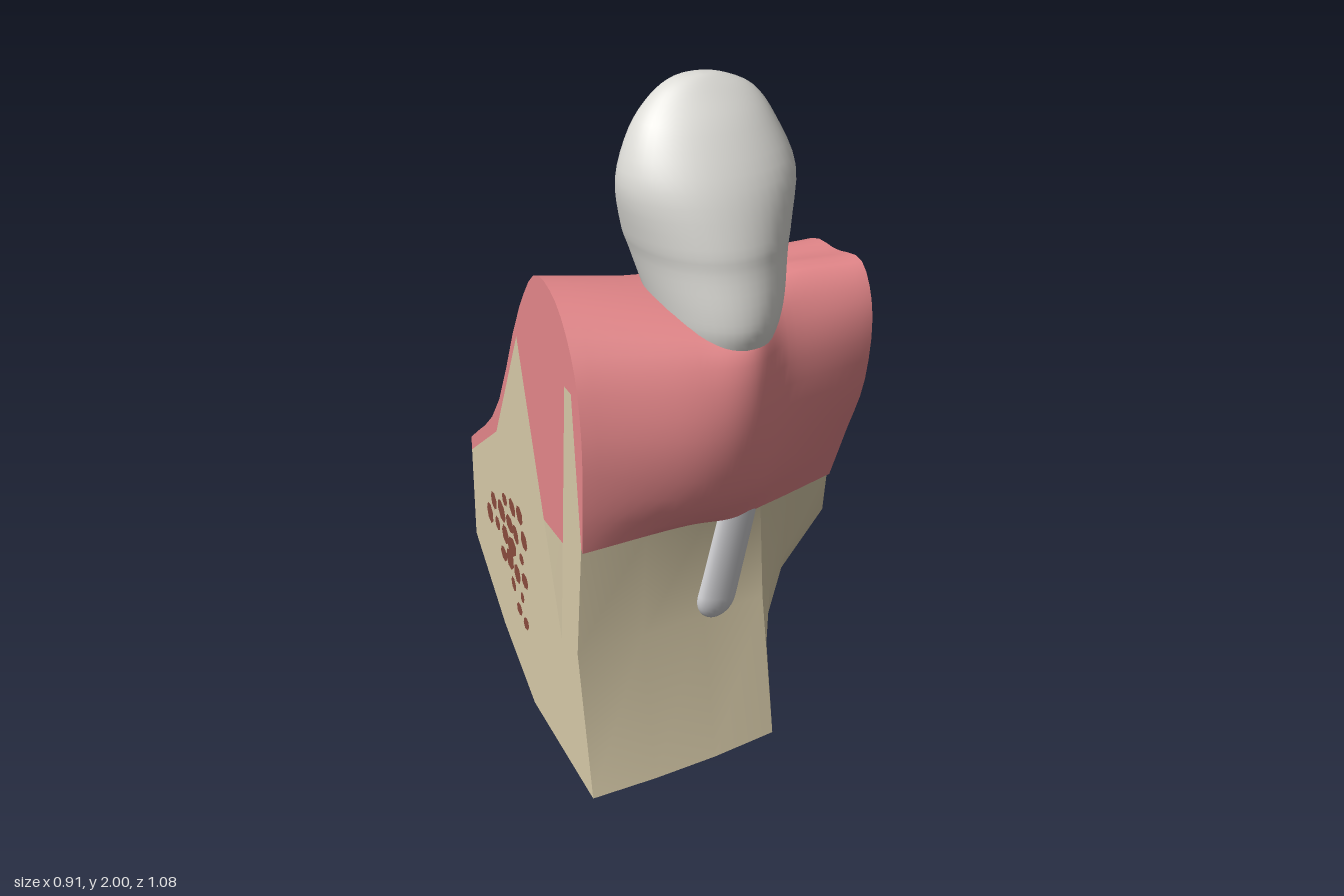
import * as THREE from 'three';
import { mergeGeometries, mergeVertices, toCreasedNormals } from 'three/addons/utils/BufferGeometryUtils.js';

const material = (name, color) => {
  const m = new THREE.MeshStandardMaterial({ color });
  m.name = name;
  return m;
};

// Extra cross-sections on smooth curves through the given ones
function smoothSections(sections, steps) {
  const curves = sections[0].map((_, i) => new THREE.CatmullRomCurve3(sections.map(s => s[i]), false, 'centripetal'));
  return Array.from({ length: steps + 1 }, (_, j) => curves.map(c => c.getPoint(j / steps)));
}

// Solid through cross-sections along x; each section is a closed ring of Vector3
function loft(sections, crease) {
  const n = sections[0].length, last = sections.length - 1;
  const pos = sections.flat().flatMap(p => p.toArray()), idx = [];
  for (let j = 0; j < last; j++) for (let i = 0; i < n; i++) {
    const k = (i + 1) % n, a = j * n + i, b = j * n + k;
    idx.push(a, b, a + n, b, b + n, a + n);
  }
  // Flat cut faces at both ends
  [sections[0], sections[last]].forEach((ring, e) => {
    const tris = THREE.ShapeUtils.triangulateShape(ring.map(p => new THREE.Vector2(-p.z, p.y)), []);
    const base = pos.length / 3;
    ring.forEach(p => pos.push(p.x, p.y, p.z));
    tris.forEach(([a, b, c]) => (e ? idx.push(base + a, base + b, base + c) : idx.push(base + a, base + c, base + b)));
  });
  const g = new THREE.BufferGeometry();
  g.setAttribute('position', new THREE.Float32BufferAttribute(pos, 3));
  g.setIndex(idx);
  return toCreasedNormals(g, crease);
}

const BACK = -0.54;
const at = (x, z, y) => new THREE.Vector3(x, y, z);

// Bone: x, then [z, y] of inner crest, socket, outer crest, gum line, waist, front foot, back foot
const boneKeys = [
  [-0.45, [-.04, 1.22], [.27, .4], [.4, 1.24], [.45, .8], [.4, .43], [.5, 0], [0, 0]],
  [-0.25, [-.02, 1.23], [.2, .6], [.4, 1.22], [.42, .78], [.39, .43], [.485, 0], [.13, 0]],
  [-0.05, [0, 1.25], [.15, .85], [.38, 1.2], [.37, .75], [.36, .43], [.46, 0], [.26, 0]],
  [0.155, [0, 1.28], [.12, .86], [.36, 1.2], [.3, .74], [.33, .43], [.42, 0], [.39, 0]],
  [0.165, [0, 1.28], [.12, .86], [.36, 1.2], [.29, .74], [.31, .45], [.34, .2], [.3, .18]],
  [0.2, [0, 1.29], [.11, .87], [.355, 1.2], [.275, .73], [.29, .47], [.27, .3], [.22, .27]],
  [0.28, [0, 1.3], [.1, .87], [.35, 1.19], [.24, .72], [.23, .5], [.17, .38], [.07, .36]],
  [0.45, [-.02, 1.32], [.08, .88], [.34, 1.17], [.15, .69], [.13, .55], [.02, .42], [-.1, .42]],
];

// Full bone ring at x; the back follows simple rules along x
function boneRing(x, points) {
  const [crest, socket, tip, lip, waist, foot, heel] = points.map(([z, y]) => at(x, z, y));
  const arch = 1 - (x / .45) ** 2;
  const bottom = at(x, BACK, .285 - .055 * x + .07 * arch);
  const under = bottom.clone().lerp(heel, .5);
  under.y += .09 * arch - .03;
  return [bottom, at(x, BACK, .705 + .2 * x), at(x, -.27, .935 + .28 * x), crest, socket,
    at(x, tip.z - .05, tip.y), tip, tip.clone().lerp(lip, .5), lip, waist, foot, heel, under];
}

// Gum: x, bone key beneath, how much of the socket stays open,
// heights at the back, z -.27, 0 and .15, then [z, y] down the front to the lip
const gumKeys = [
  [-0.45, 0, .4, [.66, .88, 1.33, 1.48], [[.3, 1.46], [.42, 1.33], [.47, 1.15], [.47, .95], [.46, .79]]],
  [-0.12, 2, .02, [.71, .95, 1.35, 1.42], [[.38, 1.39], [.48, 1.31], [.535, 1.1], [.49, .88], [.41, .775]]],
  [0.03, 2, .02, [.74, 1.01, 1.36, 1.4], [[.45, 1.345], [.495, 1.3], [.515, 1.1], [.47, .88], [.375, .745]]],
  [0.17, 4, .02, [.79, 1.07, 1.38, 1.41], [[.32, 1.43], [.41, 1.31], [.43, 1.1], [.39, .88], [.315, .73]]],
  [0.45, 7, .02, [.91, 1.15, 1.39, 1.41], [[.3, 1.43], [.37, 1.32], [.35, 1.09], [.25, .87], [.165, .69]]],
];

// Gum ring: smooth outer skin, then back along the bone surface
function gumRing([x, key, open, heights, front]) {
  const b = boneRing(x, boneKeys[key].slice(1));
  const outer = [...[BACK, -.27, 0, .15].map((z, i) => at(x, z, heights[i])), ...front.map(([z, y]) => at(x, z, y))];
  const skin = new THREE.CatmullRomCurve3(outer, false, 'centripetal').getPoints(28);
  return [...skin, b[8], b[7], b[6], b[5], b[4].clone().lerp(b[5], open), b[4].clone().lerp(b[3], open), b[3], b[2], b[1]];
}

// Crown rows: y, half width, x offset, back z, front z
const crownRows = [
  [2, 0, -.01, .2, .22], [1.99, .07, -.01, .175, .245], [1.95, .145, 0, .155, .285], [1.87, .205, -.005, .135, .35],
  [1.74, .25, 0, .1, .425], [1.6, .23, .005, .04, .47], [1.53, .212, .01, .035, .48], [1.42, .185, .015, .065, .5],
  [1.34, .16, .015, .1, .495], [1.25, .12, .015, .15, .44], [1.2, 0, .015, .3, .3],
];

function crownGeometry() {
  const spline = (a, b) => new THREE.CatmullRomCurve3(crownRows.map(r => new THREE.Vector3(r[0], r[a], r[b])), false, 'catmullrom');
  const widths = spline(1, 2), depths = spline(3, 4);
  let g = new THREE.SphereGeometry(1, 48, 40);
  const p = g.attributes.position, uv = g.attributes.uv;
  for (let i = 0; i < p.count; i++) {
    const t = THREE.MathUtils.clamp(1 - uv.getY(i), 0, 1);
    const pole = t < 1e-4 || t > 0.9999;
    const r = pole ? 1 : Math.hypot(p.getX(i), p.getZ(i));
    const c = pole ? 0 : p.getX(i) / r, s = pole ? 0 : p.getZ(i) / r;
    const w = widths.getPoint(t), d = depths.getPoint(t);
    const mid = d.y + (d.z - d.y) * 0.42;
    const x = c * w.y;
    let z = mid + s * (s > 0 ? d.z - mid : mid - d.y);
    // Shallow hollow on the back of the crown
    if (s < 0) z -= s * 0.025 * Math.exp(-((x / 0.1) ** 2) - ((w.x - 1.76) / 0.08) ** 2);
    p.setXYZ(i, x + w.z, w.x, z);
  }
  g.deleteAttribute('uv');
  g.deleteAttribute('normal');
  g = mergeVertices(g, 1e-4);
  g.computeVertexNormals();
  return g;
}

function inside(z, y, poly) {
  let hit = false;
  poly.forEach(([az, ay], i) => {
    const [bz, by] = poly[(i + 1) % poly.length];
    if ((ay > y) !== (by > y) && z < ((bz - az) * (y - ay)) / (by - ay) + az) hit = !hit;
  });
  return hit;
}

// Irregular marrow pores scattered over a region of a cut face
function poreGeometry(side, region, size) {
  let seed = 7;
  const rnd = () => (seed = (seed * 16807) % 2147483647) / 2147483647;
  const parts = [];
  const step = size * 2.3;
  let row = 0;
  for (let y = 0.2; y < 1.15; y += step, row++) for (let z = -0.56; z < 0.1; z += step) {
    const cz = z + (row % 2) * step / 2 + (rnd() - .5) * size * .8, cy = y + (rnd() - .5) * size * .8;
    const r = size * (0.65 + rnd() * 0.55) * (cy > .9 ? .8 : 1), stretch = .75 + rnd() * .6, turn = rnd() * 3;
    if (!inside(cz, cy, region)) continue;
    parts.push(new THREE.CircleGeometry(r, 7).scale(stretch, 1, 1).rotateZ(turn)
      .rotateY(side * Math.PI / 2).translate(side * 0.453, cy, cz));
  }
  return mergeGeometries(parts);
}

export function createModel() {
  const model = new THREE.Group();
  model.name = 'jawSection';
  const bone = material('bone', 0xd9ccaa), gum = material('gum', 0xe6888b);
  const enamel = material('enamel', 0xdcdbd6), rootGrey = material('root', 0xcfcfd2), marrow = material('marrow', 0x8c4c3e);
  const add = (name, geometry, mat) => {
    const mesh = new THREE.Mesh(geometry, mat);
    mesh.name = name;
    model.add(mesh);
    return mesh;
  };

  add('jawBone', loft(boneKeys.map(([x, ...points]) => boneRing(x, points)), 0.55), bone);
  add('gum', loft(smoothSections(gumKeys.map(gumRing), 32), 0.6), gum);
  add('toothCrown', crownGeometry(), enamel);

  // Root showing through the front of the bone
  const root = add('toothRoot', new THREE.CapsuleGeometry(0.07, 0.3, 8, 20), rootGrey);
  root.scale.z = 0.45;
  root.position.set(0.035, 0.63, 0.341);
  root.rotation.set(0, 0.27, -0.27);

  // Spongy marrow on both cut faces
  add('marrowRight', poreGeometry(-1, [[-.4, .48], [-.2, .66], [-.03, .68], [-.03, .2], [-.2, .34]], 0.03), marrow);
  add('marrowLeft', poreGeometry(1, [[.01, .48], [-.03, .75], [-.12, 1.0], [-.17, 1.12], [-.3, .98], [-.5, .74], [-.5, .33], [-.38, .33], [-.25, .47]], 0.032), marrow);
  return model;
}
